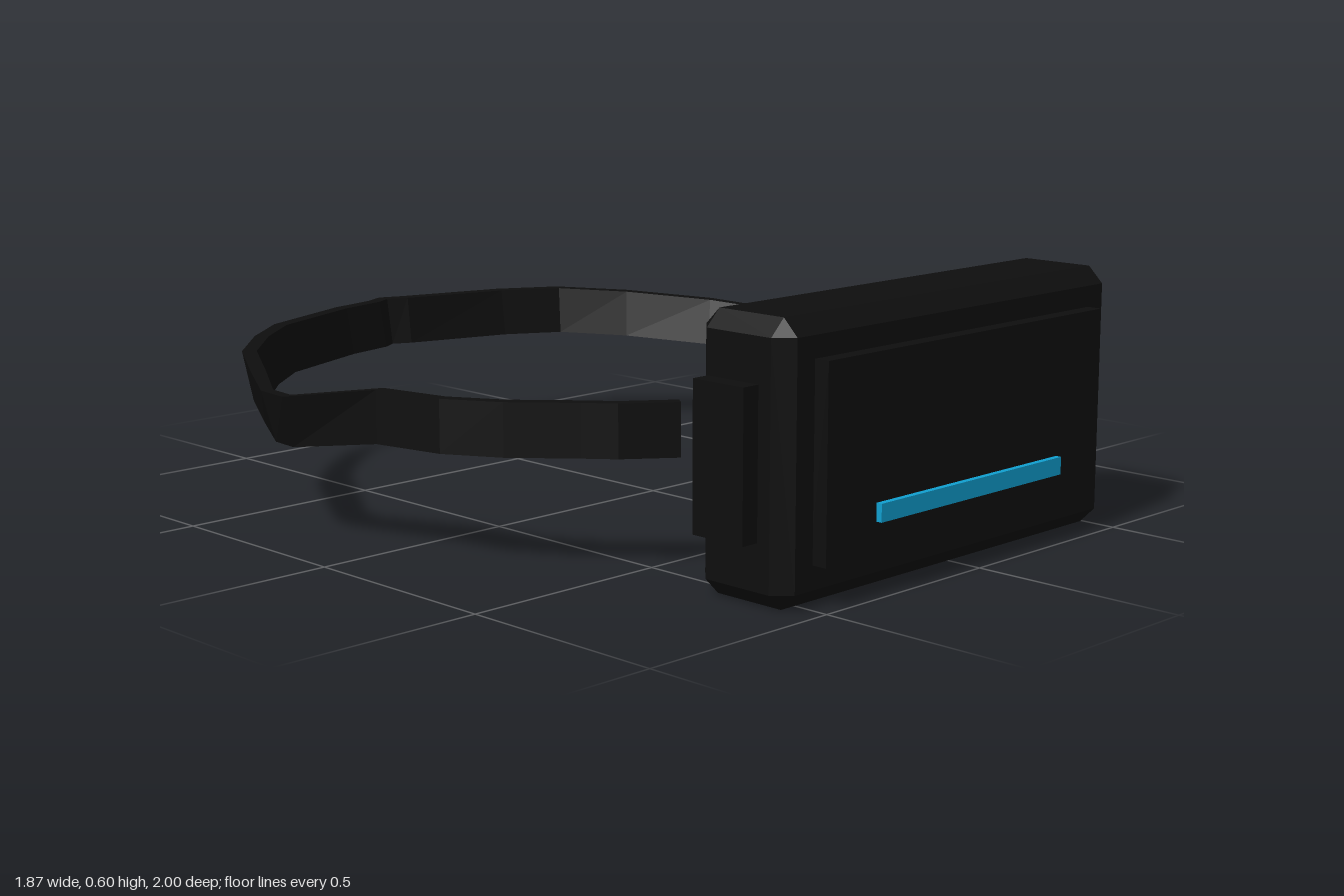
import * as THREE from 'three';
import { ConvexGeometry } from 'three/addons/geometries/ConvexGeometry.js';

const shell = new THREE.MeshStandardMaterial({ color: 0x0e0e0e });
shell.name = 'black';
const light = new THREE.MeshStandardMaterial({ color: 0x109fd0 });
light.name = 'blue';

// Box with every edge and corner cut by c
function chamferedBox(w, h, d, c) {
  const points = [];
  for (const sx of [-1, 1]) for (const sy of [-1, 1]) for (const sz of [-1, 1]) {
    const x = w / 2, y = h / 2, z = d / 2;
    points.push(
      new THREE.Vector3(sx * x, sy * (y - c), sz * (z - c)),
      new THREE.Vector3(sx * (x - c), sy * y, sz * (z - c)),
      new THREE.Vector3(sx * (x - c), sy * (y - c), sz * z)
    );
  }
  return new ConvexGeometry(points);
}

// Strap centre line in plan (x, z), from its left front end round the back
const strapPath = [
  [0.36, 0.57], [0.505, 0.48], [0.56, 0.42], [0.66, 0.325], [0.715, 0.255], [0.75, 0.16],
  [0.77, 0.03], [0.785, -0.06], [0.815, -0.15], [0.845, -0.21],
  [0.893, -0.25], // creased fold
  [0.848, -0.31], [0.73, -0.51], [0.58, -0.69], [0.44, -0.82], [0.28, -0.883], [0, -0.948],
  [-0.055, -0.97], // small pinch at the back
  [-0.1, -0.947], [-0.23, -0.922], [-0.49, -0.83], [-0.61, -0.74], [-0.73, -0.62],
  [-0.83, -0.44], [-0.912, -0.29], [-0.915, -0.22], [-0.855, 0.02], [-0.82, 0.19],
  [-0.75, 0.31], [-0.64, 0.43], [-0.59, 0.49], [-0.485, 0.57]
];

// The strap sags just behind the temples, more on its left, and recovers toward the back
function strapSag(x, z) {
  const depth = x > 0 ? 0.075 : 0.04;
  return depth * (z > -0.25
    ? 1 - THREE.MathUtils.smoothstep(z, -0.25, -0.02)
    : Math.pow(Math.max(0, (z + 0.97) / 0.72), 1.5));
}

function strapGeometry() {
  const positions = [], index = [], half = 0.06;
  const last = strapPath.length - 1;
  strapPath.forEach(([x, z], i) => {
    const a = strapPath[Math.max(i - 1, 0)], b = strapPath[Math.min(i + 1, last)];
    const dx = b[0] - a[0], dz = b[1] - a[1], len = Math.hypot(dx, dz);
    const nx = -dz / len, nz = dx / len;
    const sag = strapSag(x, z);
    const lean = z < -0.1 ? 0.02 + 0.3 * sag : 0;
    const thick = z < -0.4 ? 0.035 : 0.028;
    for (const [side, up] of [[-1, -1], [1, -1], [1, 1], [-1, 1]]) {
      const out = (side * thick + up * lean) / 2;
      positions.push(x + nx * out, 0.315 - sag + up * half, z + nz * out);
    }
    if (i < last) for (let k = 0; k < 4; k++) {
      const p = i * 4 + k, q = i * 4 + (k + 1) % 4;
      index.push(p, p + 4, q + 4, p, q + 4, q);
    }
  });
  // End caps
  const e = last * 4;
  index.push(0, 1, 2, 0, 2, 3, e, e + 2, e + 1, e, e + 3, e + 2);
  const indexed = new THREE.BufferGeometry();
  indexed.setAttribute('position', new THREE.Float32BufferAttribute(positions, 3));
  indexed.setIndex(index);
  const flat = indexed.toNonIndexed();
  flat.computeVertexNormals();
  return flat;
}

export function createModel() {
  const model = new THREE.Group();
  model.name = 'headset';
  const add = (name, geometry, material, x, y, z) => {
    const mesh = new THREE.Mesh(geometry, material);
    mesh.name = name;
    mesh.position.set(x, y, z);
    model.add(mesh);
  };

  // Visor block with its front panel and side brackets
  add('visorBody', chamferedBox(1.11, 0.6, 0.25, 0.037), shell, -0.023, 0.3, 0.825);
  add('frontPanel', new THREE.BoxGeometry(0.93, 0.425, 0.045), shell, -0.023, 0.3025, 0.9635);
  for (const side of [-1, 1]) {
    add(side > 0 ? 'leftBracket' : 'rightBracket',
      new THREE.BoxGeometry(0.06, 0.325, 0.14), shell, -0.023 + side * 0.568, 0.3025, 0.81);
  }

  // Light bar on the front panel
  add('lightBar', new THREE.BoxGeometry(0.62, 0.04, 0.015), light, -0.023, 0.18, 0.9925);

  // Open head strap
  add('headStrap', strapGeometry(), shell, 0, 0, 0);
  return model;
}
